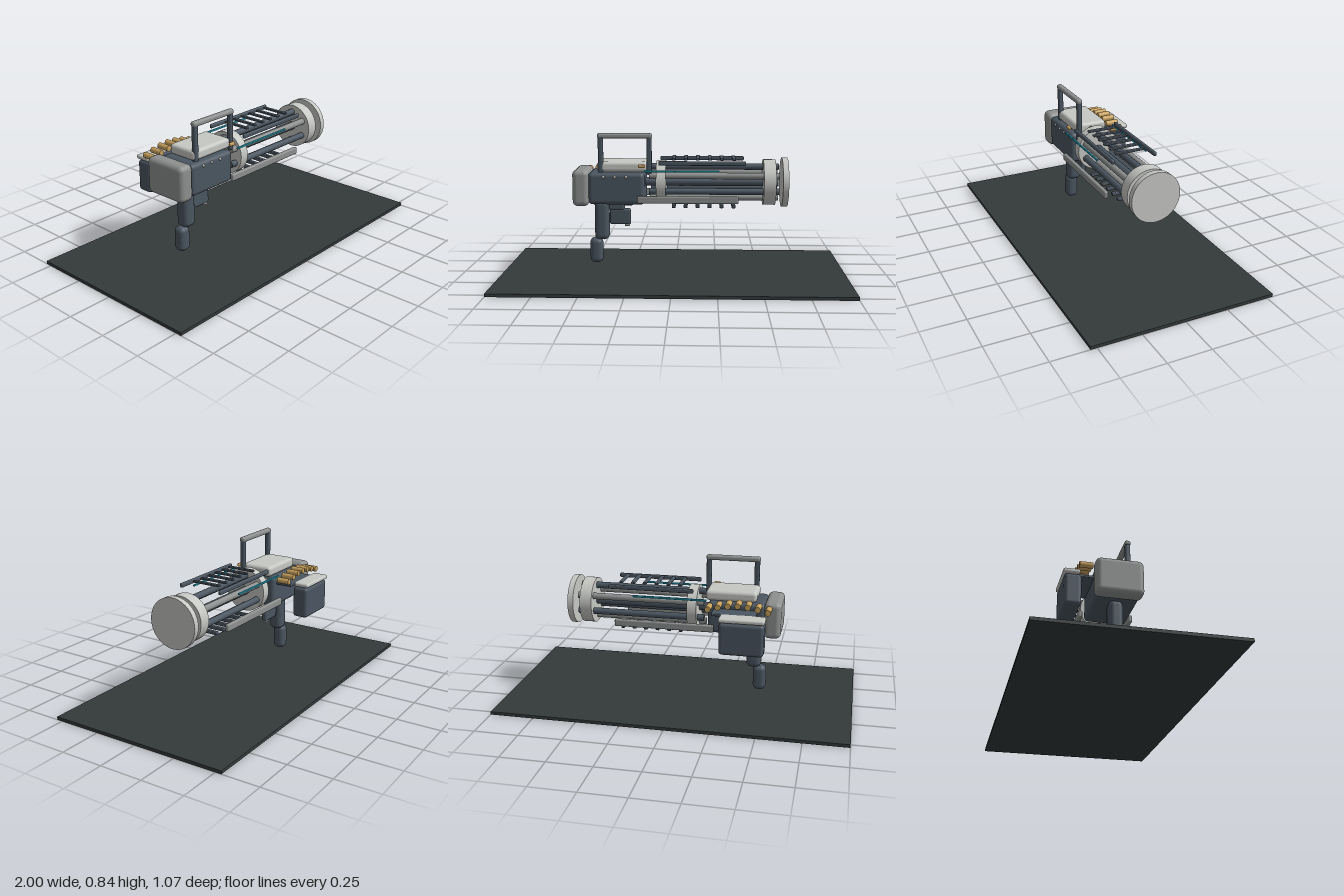
import * as THREE from 'three';
import { RoundedBoxGeometry } from 'three/addons/geometries/RoundedBoxGeometry.js';

export function createModel() {
  const model = new THREE.Group();
  const mat = (name, color) => {
    const m = new THREE.MeshStandardMaterial({ color });
    m.name = name;
    return m;
  };
  const slate = mat('dark slate', 0x4b5661);
  const light = mat('pale metal', 0xc6c8c4);
  const gray = mat('mid gray', 0x8e9090);
  const gold = mat('brass', 0xc9a25e);
  const cyan = mat('cyan glow', 0x22a2ba);
  const floor = mat('base charcoal', 0x343a3a);

  const add = (name, geo, material, x, y, z) => {
    const mesh = new THREE.Mesh(geo, material);
    mesh.name = name;
    mesh.position.set(x, y, z);
    model.add(mesh);
    return mesh;
  };
  // Rounded block given by its lower and upper limits on each axis
  const block = (name, material, [x0, x1], [y0, y1], [z0, z1], r = 0.01) =>
    add(name, new RoundedBoxGeometry(x1 - x0, y1 - y0, z1 - z0, 3, r), material,
      (x0 + x1) / 2, (y0 + y1) / 2, (z0 + z1) / 2);
  // Cylinder lying along x
  const rod = (name, material, r, x0, x1, y, z, sides = 16) =>
    add(name, new THREE.CylinderGeometry(r, r, x1 - x0, sides).rotateZ(Math.PI / 2),
      material, (x0 + x1) / 2, y, z);

  // Display base
  add('base', new THREE.BoxGeometry(2, 0.018, 1.07), floor, 0, 0.009, 0);

  // Body
  block('receiver', slate, [-0.49, -0.165], [0.43, 0.615], [-0.12, 0.12], 0.025);
  block('buttBlock', gray, [-0.58, -0.485], [0.42, 0.63], [-0.135, 0.13], 0.03);
  block('topCover', light, [-0.44, -0.15], [0.615, 0.675], [-0.1, 0.09], 0.02);

  // Grip and trigger housing
  block('upperGrip', slate, [-0.465, -0.38], [0.205, 0.44], [-0.041, 0.041], 0.03);
  block('lowerGrip', slate, [-0.495, -0.42], [0.065, 0.215], [-0.037, 0.037], 0.03);
  block('triggerHousing', slate, [-0.378, -0.253], [0.295, 0.39], [-0.017, 0.017], 0.012);
  block('triggerNeck', slate, [-0.385, -0.29], [0.38, 0.44], [-0.017, 0.017], 0.012);
  block('trigger', light, [-0.29, -0.26], [0.285, 0.3], [-0.012, 0.012], 0.005);

  // Carry handle
  for (const x of [-0.418, -0.14])
    block('handlePost', slate, [x - 0.015, x + 0.015], [0.6, 0.825], [0.062, 0.092], 0.01);
  block('handleBar', gray, [-0.437, -0.123], [0.808, 0.838], [0.06, 0.094], 0.012);

  // Rotating barrels, alternating in tone, with their clamps and muzzle disc
  rod('barrelHub', slate, 0.025, -0.17, 0.605, 0.55, 0);
  for (let i = 0; i < 6; i++) {
    const a = Math.PI / 2 + i * Math.PI / 3;
    rod('barrel', i % 2 ? gray : slate, 0.019, -0.14, 0.605,
      0.55 + 0.09 * Math.sin(a), 0.09 * Math.cos(a));
  }
  rod('rearClamp', light, 0.125, -0.1, -0.045, 0.55, 0, 40);
  rod('frontClamp', light, 0.132, 0.515, 0.585, 0.55, 0, 40);
  rod('muzzleDisc', light, 0.142, 0.622, 0.655, 0.55, 0, 48);

  // Cooling rungs above and below the barrels
  for (let i = 0; i < 6; i++) {
    const x = i * 0.069;
    block('upperRung', slate, [x - 0.011, x + 0.011], [0.683, 0.695], [-0.085, 0.085], 0.004);
    block('lowerRung', slate, [x - 0.011, x + 0.011], [0.405, 0.425], [-0.069, 0.069], 0.005);
  }

  // Paired side details
  for (const s of [-1, 1]) {
    const zs = (c, h) => [s * c - h, s * c + h];
    block('upperRail', slate, [-0.085, 0.41], [0.66, 0.685], zs(0.126, 0.009), 0.007);
    block('lowerRail', gray, [-0.205, 0.37], [0.445, 0.487], zs(0.145, 0.012), 0.008);
    block('glowStrip', cyan, [-0.165, 0.26], [0.625, 0.636], zs(0.15, 0.005), 0.003);
    for (const x of [-0.4, -0.335, -0.27])
      add('stud', new THREE.SphereGeometry(0.008, 12, 8), light, x, 0.592, s * 0.12);
  }
  block('ejectedCasing', gold, [-0.2, -0.16], [0.645, 0.665], [0.117, 0.135], 0.007);

  // Ammunition box with lid and feed tray
  block('ammoBox', slate, [-0.505, -0.255], [0.365, 0.55], [-0.293, -0.198], 0.02);
  block('ammoLid', light, [-0.507, -0.253], [0.553, 0.578], [-0.298, -0.205], 0.01);
  block('feedTray', slate, [-0.45, -0.2], [0.563, 0.578], [-0.215, -0.11], 0.005);

  // Cartridge belt on a shallow arch
  for (let i = 0; i < 7; i++) {
    const x = -0.515 + i * 0.0555;
    const y = 0.6 + 0.028 * Math.sin(i / 6 * Math.PI);
    add('cartridge', new THREE.CylinderGeometry(0.017, 0.017, 0.075, 14).rotateX(Math.PI / 2),
      gold, x, y, -0.178);
  }
  return model;
}
